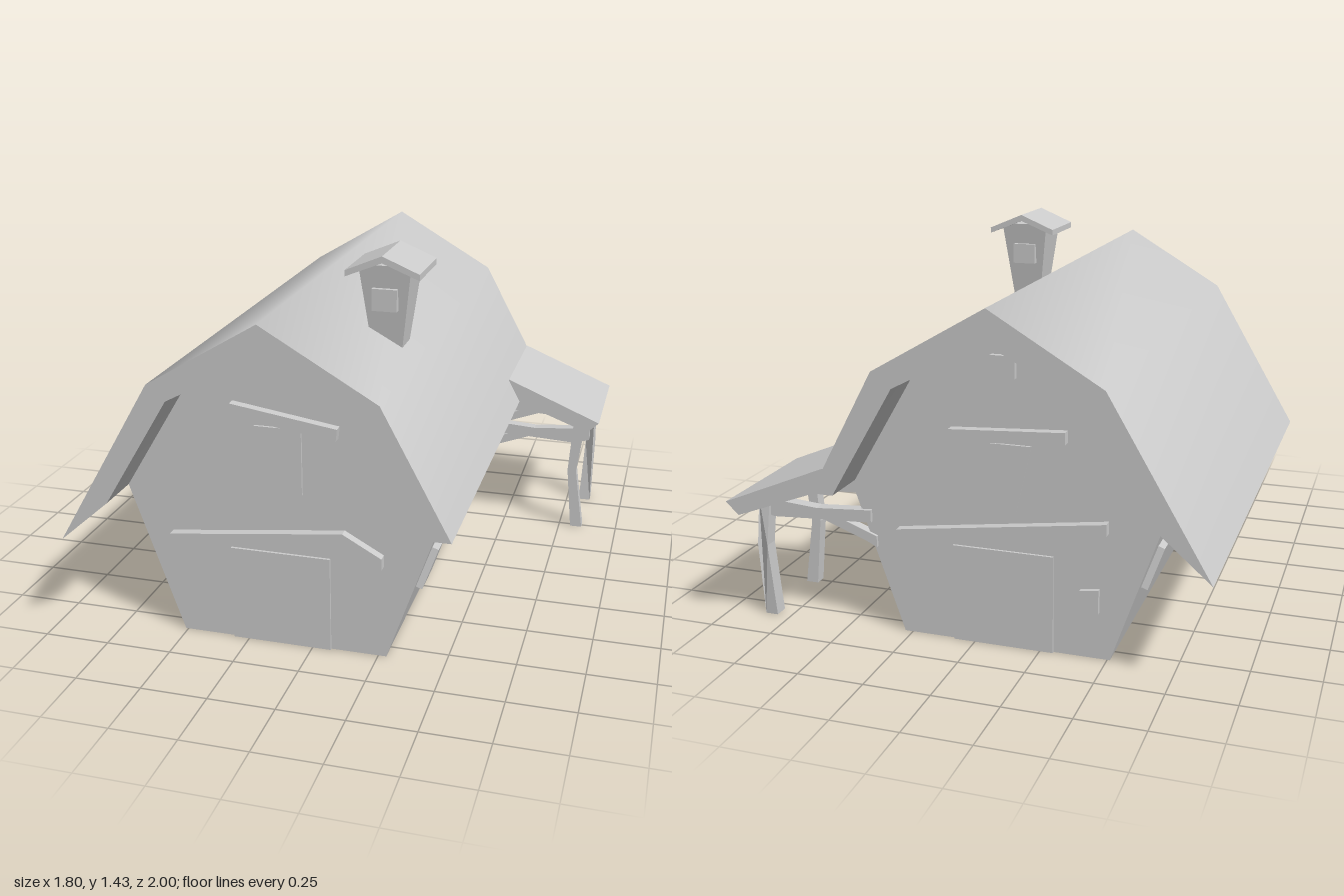
import * as THREE from 'three';
import { toCreasedNormals } from 'three/addons/utils/BufferGeometryUtils.js';

const grey = new THREE.MeshStandardMaterial({ color: 0xcccccc });
const CX = -0.115; // ridge line of the barn

// Outline in x/y, extruded from z0 to z1
function slab(points, z0, z1) {
  const shape = new THREE.Shape(points.map(p => new THREE.Vector2(p[0], p[1])));
  const geo = new THREE.ExtrudeGeometry(shape, { depth: z1 - z0, bevelEnabled: false });
  return geo.translate(0, 0, z0);
}

function rect(x0, x1, y0, y1) {
  return [[x0, y0], [x1, y0], [x1, y1], [x0, y1]];
}

export function createModel() {
  const model = new THREE.Group();
  const add = (name, geo, parent = model) => {
    const mesh = new THREE.Mesh(geo, grey);
    mesh.name = name;
    parent.add(mesh);
    return mesh;
  };

  // Barn walls, narrower at the ground
  add('walls', slab([
    [-0.51, 0], [0.28, 0], [0.48, 0.575], [0.225, 0.985],
    [-0.12, 1.165], [-0.46, 0.985], [-0.71, 0.575],
  ], -0.82, 0.82));

  // Gambrel roof with one long eave, smooth across the ridge
  add('roof', toCreasedNormals(slab([
    [-0.9, 0.41], [-0.71, 0.575], [-0.46, 0.985], [-0.12, 1.165], [0.225, 0.985],
    [0.465, 0.575], [0.55, 0.575], [0.3, 1.04], [-0.12, 1.285], [-0.53, 1.04],
  ], -1, 1), 1.15));

  // Front gable
  add('frontDoor', slab(rect(-0.31, 0.07, 0, 0.37), 0.81, 0.83));
  add('loftWindow', slab(rect(-0.205, -0.03, 0.61, 0.86), 0.81, 0.83));
  add('loftBeam', slab([[-0.295, 0.9], [0.105, 0.84], [0.11, 0.885], [-0.285, 0.945]], 0.81, 0.855));
  add('doorBeam', slab([
    [-0.54, 0.365], [0.125, 0.44], [0.27, 0.365], [0.27, 0.41], [0.125, 0.49], [-0.54, 0.41],
  ], 0.81, 0.855));

  // Back gable
  add('backDoor', slab(rect(-0.3, 0.08, 0, 0.37), -0.83, -0.81));
  add('backWindow', slab([[-0.16, 0.51], [-0.06, 0.51], [-0.02, 0.77], [-0.22, 0.77]], -0.83, -0.81));
  add('backLoftBeam', slab([[-0.35, 0.795], [0.08, 0.77], [0.08, 0.815], [-0.35, 0.84]], -0.855, -0.81));
  add('backDoorBeam', slab([[-0.5, 0.48], [0.29, 0.37], [0.29, 0.415], [-0.5, 0.525]], -0.855, -0.81));
  add('backVent', slab(rect(-0.165, -0.075, 1.01, 1.09), -0.84, -0.81));
  add('backHatch', slab([[-0.47, 0.18], [-0.39, 0.2], [-0.4, 0.26], [-0.47, 0.27]], -0.84, -0.81));

  // Crooked windows on the leaning side walls: [z, half width at bottom, half width at top]
  const lean = Math.atan2(0.2, 0.575);
  const wallNormal = new THREE.Vector3(Math.cos(lean), -Math.sin(lean), 0);
  const wallUp = new THREE.Vector3(Math.sin(lean), Math.cos(lean), 0);
  const toWall = new THREE.Matrix4().makeBasis(new THREE.Vector3(0, 0, -1), wallUp, wallNormal);
  for (const side of ['left', 'right']) {
    const group = new THREE.Group();
    group.name = side + 'SideWindows';
    for (const [z, bottom, top] of [[0.67, 0.08, 0.052], [0.235, 0.043, 0.08], [-0.195, 0.08, 0.047]]) {
      const geo = slab([[-bottom, -0.08], [bottom, -0.08], [top, 0.08], [-top, 0.08]], -0.01, 0.025);
      geo.applyMatrix4(toWall).translate(0.28 + 0.34 * Math.tan(lean), 0.34, z);
      add('sideWindow', geo, group);
    }
    if (side === 'right') {
      group.rotation.y = Math.PI;
      group.position.x = 2 * CX;
    }
    model.add(group);
  }

  // Roof turret, tapering downwards
  const turret = new THREE.Group();
  turret.name = 'turret';
  turret.position.set(0.185, 0, 0.4);
  model.add(turret);
  const shaft = new THREE.CylinderGeometry(0.098 * Math.SQRT2, 0.055 * Math.SQRT2, 0.335, 4)
    .rotateY(Math.PI / 4).translate(0, 1.2175, 0).toNonIndexed();
  shaft.computeVertexNormals();
  add('turretShaft', shaft, turret);
  add('turretRoof', slab([
    [-0.138, 1.347], [0, 1.403], [0.138, 1.347], [0.138, 1.37], [0, 1.428], [-0.138, 1.37],
  ], -0.137, 0.137), turret);
  add('turretWindows', slab(rect(-0.047, 0.047, 1.218, 1.3), -0.105, 0.105), turret);

  // Lean-to roof
  add('porchRoof', slab([
    [0.47, 0.6], [0.54, 0.575], [0.85, 0.458], [0.9, 0.505], [0.5, 0.672],
  ], -1, -0.47));

  // Bent posts carrying the lean-to
  add('frontPost', slab([
    [0.8, 0], [0.85, 0], [0.812, 0.27], [0.838, 0.48], [0.79, 0.48], [0.775, 0.27],
  ], -0.527, -0.48));
  const backPost = slab([
    [0.805, 0], [0.855, 0], [0.86, 0.29], [0.855, 0.47], [0.81, 0.48], [0.82, 0.29],
  ], -0.845, -0.79);
  const pos = backPost.attributes.position;
  for (let i = 0; i < pos.count; i++) {
    if (Math.abs(pos.getY(i) - 0.29) < 0.01) pos.setZ(i, pos.getZ(i) - 0.02);
  }
  backPost.computeVertexNormals();
  add('backPost', backPost);

  // Tie beams and braces between wall and posts
  for (const z of [-0.527, -0.835]) {
    add('tieBeam', slab([
      [0.4, 0.42], [0.62, 0.41], [0.8, 0.4], [0.86, 0.42], [0.86, 0.472], [0.62, 0.453], [0.4, 0.468],
    ], z, z + 0.045));
    add('brace', slab([[0.38, 0.325], [0.42, 0.345], [0.6, 0.412], [0.52, 0.42], [0.38, 0.368]], z + 0.003, z + 0.042));
  }

  return model;
}
